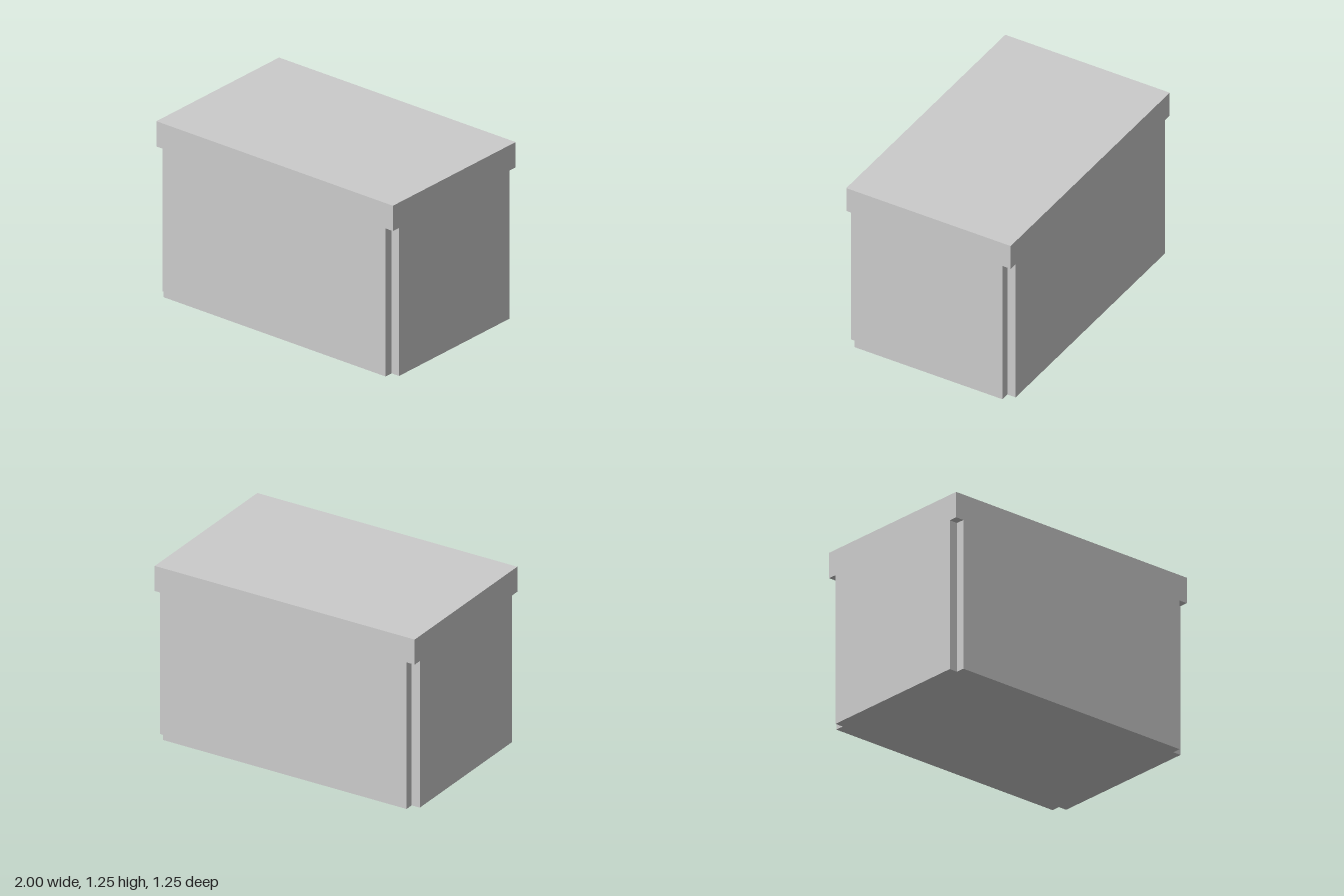
import * as THREE from 'three';

const W = 1, D = 0.625, H = 1.25; // half width, half depth, height
const NOTCH = 0.0625, NOTCH_TOP = 1.0675;

export function createModel() {
  const group = new THREE.Group();
  const material = new THREE.MeshStandardMaterial({ color: 0xcccccc, flatShading: true });

  // Body: rectangle with a square notch cut from each corner, extruded upwards
  const w = W - NOTCH, d = D - NOTCH;
  const outline = new THREE.Shape([
    [w, -D], [w, -d], [W, -d], [W, d], [w, d], [w, D],
    [-w, D], [-w, d], [-W, d], [-W, -d], [-w, -d], [-w, -D],
  ].map(([x, y]) => new THREE.Vector2(x, y)));
  const bodyGeometry = new THREE.ExtrudeGeometry(outline, { depth: NOTCH_TOP, bevelEnabled: false });
  bodyGeometry.rotateX(-Math.PI / 2);
  const body = new THREE.Mesh(bodyGeometry, material);
  body.name = 'notchedBody';
  group.add(body);

  // Top slab: full rectangle covering the corner notches
  const slabHeight = H - NOTCH_TOP;
  const slab = new THREE.Mesh(new THREE.BoxGeometry(2 * W, slabHeight, 2 * D), material);
  slab.position.y = NOTCH_TOP + slabHeight / 2;
  slab.name = 'topSlab';
  group.add(slab);

  return group;
}
